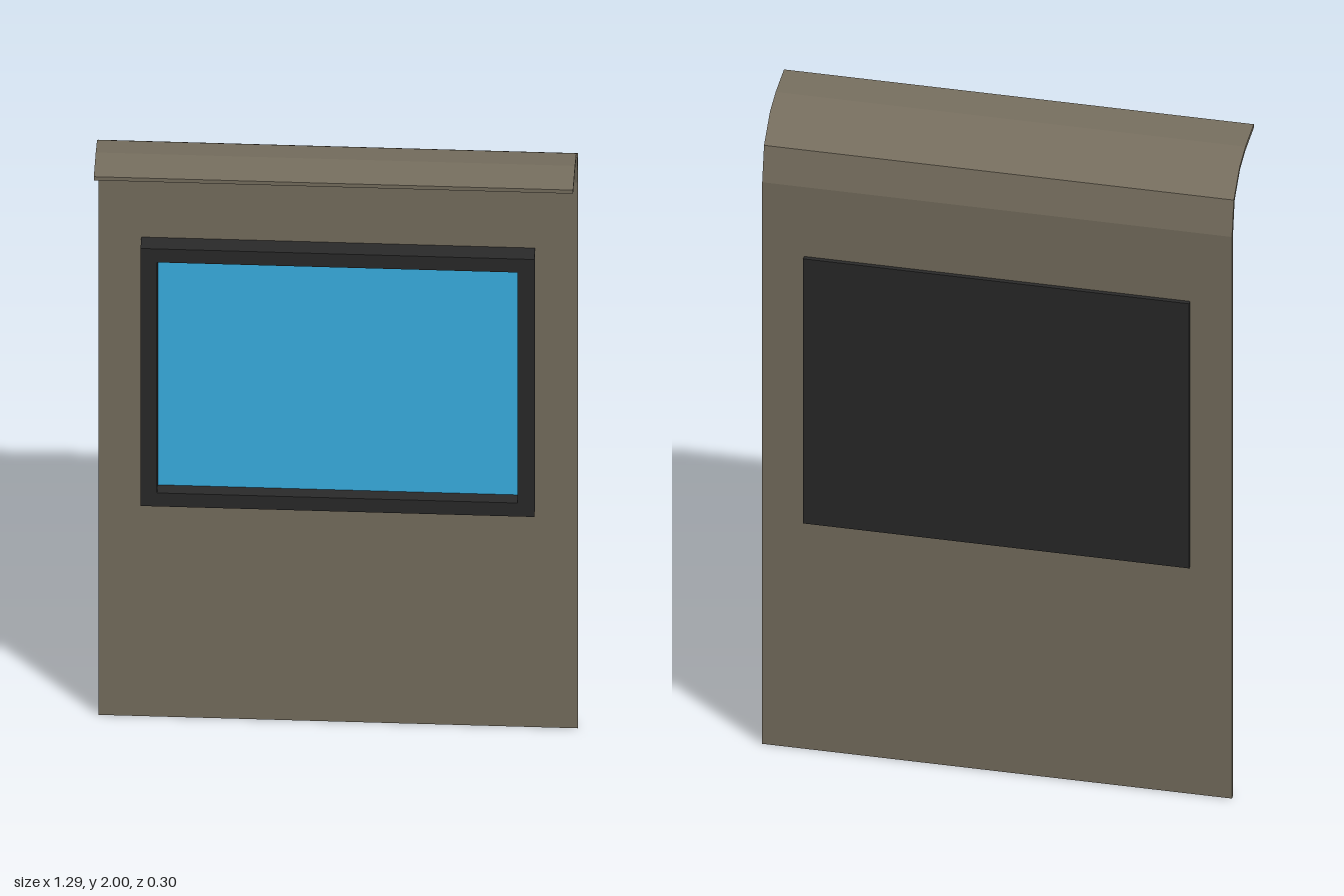
import * as THREE from 'three';

const PANEL_W = 1.29;
const paint = (color) => new THREE.MeshStandardMaterial({ color, flatShading: true });

function add(group, name, geometry, material, x = 0, y = 0, z = 0) {
  const mesh = new THREE.Mesh(geometry, material);
  mesh.name = name;
  mesh.position.set(x, y, z);
  group.add(mesh);
}

// Closed rectangle path centred on the origin
function rectangle(path, w, h) {
  path.moveTo(-w / 2, -h / 2);
  path.lineTo(w / 2, -h / 2);
  path.lineTo(w / 2, h / 2);
  path.lineTo(-w / 2, h / 2);
  path.closePath();
  return path;
}

export function createModel() {
  const model = new THREE.Group();
  model.name = 'wallScreen';
  const panelPaint = paint(0x787060);
  const framePaint = paint(0x2a2a2a);
  const screenPaint = paint(0x3ab4e8);

  // Flat backing panel
  add(model, 'backPanel', new THREE.BoxGeometry(PANEL_W, 1.645, 0.013), panelPaint, 0, 0.8225, -0.1315);

  // Curved canopy: [z, y] outer side upward and forward, then inner side back
  const outer = [[-0.138, 1.645], [-0.138, 1.825], [-0.114, 1.929], [-0.036, 1.986], [0.04, 2], [0.15, 2]];
  const inner = [[0.15, 1.988], [0.04, 1.988], [-0.031, 1.975], [-0.103, 1.921], [-0.125, 1.823], [-0.125, 1.645]];
  const section = new THREE.Shape([...outer, ...inner].map(([z, y]) => new THREE.Vector2(-z, y)));
  const canopy = new THREE.ExtrudeGeometry(section, { depth: PANEL_W, bevelEnabled: false });
  canopy.translate(0, 0, -PANEL_W / 2).rotateY(Math.PI / 2);
  add(model, 'canopy', canopy, panelPaint);

  // Screen frame with an open front, its back plate and the recessed screen
  const midY = 1.17;
  const border = rectangle(new THREE.Shape(), 1.06, 0.86);
  border.holes.push(rectangle(new THREE.Path(), 0.97, 0.77));
  const frame = new THREE.ExtrudeGeometry(border, { depth: 0.065, bevelEnabled: false });
  add(model, 'screenFrame', frame, framePaint, 0, midY, -0.138);
  add(model, 'frameBack', new THREE.BoxGeometry(1.06, 0.86, 0.012), framePaint, 0, midY, -0.144);
  add(model, 'screen', new THREE.BoxGeometry(0.97, 0.77, 0.026), screenPaint, 0, midY, -0.123);

  return model;
}
